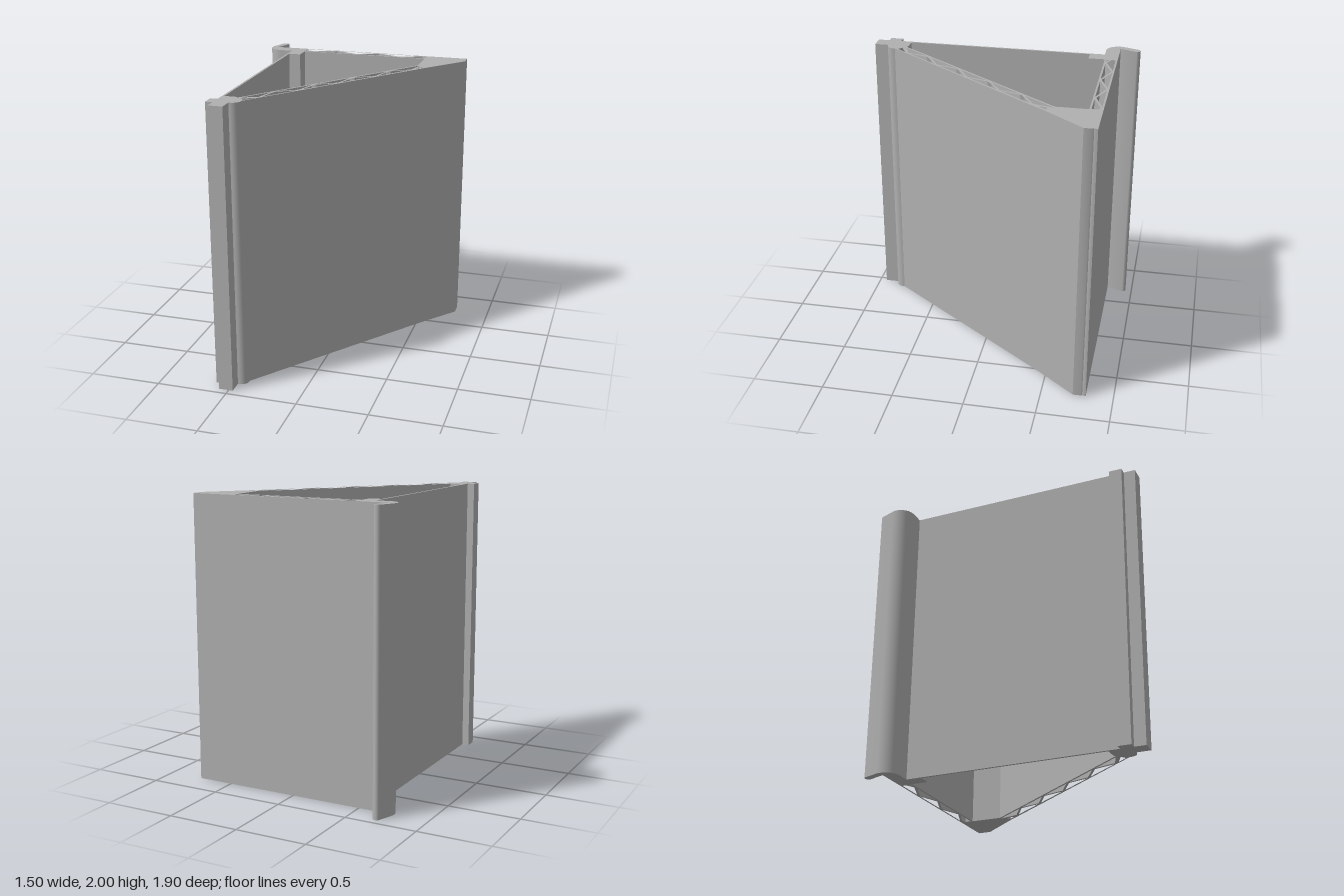
import * as THREE from 'three';
import { toCreasedNormals } from 'three/addons/utils/BufferGeometryUtils.js';

const HEIGHT = 2;

// Points on an arc in the (x, z) plane, angles in degrees
function arc(cx, cz, r, from, to, steps = 10) {
  return Array.from({ length: steps + 1 }, (_, i) => {
    const a = THREE.MathUtils.degToRad(from + ((to - from) * i) / steps);
    return [cx + r * Math.cos(a), cz + r * Math.sin(a)];
  });
}

const toVectors = (points) => points.map(([x, z]) => new THREE.Vector2(x, -z));

// Triangular openings of a zigzag truss, in (along, across) coordinates.
// Struts run through the nodes, which alternate between the two chords.
function trussHoles(first, pitch, count, lowStart, near, far) {
  const gap = 0.021, inset = 0.008;
  return Array.from({ length: count }, (_, i) => {
    const u = first + i * pitch;
    const low = (i % 2 === 0) === lowStart;
    const tip = low ? near + inset : far - inset;
    const base = low ? far : near;
    return [[u - pitch + gap, base], [u + pitch - gap, base], [u, tip]];
  });
}

export function createModel() {
  const group = new THREE.Group();
  const metal = new THREE.MeshStandardMaterial({ color: 0xb0b0b0 });
  metal.name = 'plain grey';

  // Vertical prism from a plan outline
  function prism(name, outline, holes = []) {
    const shape = new THREE.Shape(toVectors(outline));
    shape.holes = holes.map((h) => new THREE.Path(toVectors(h)));
    const geo = new THREE.ExtrudeGeometry(shape, { depth: HEIGHT, bevelEnabled: false });
    geo.rotateX(-Math.PI / 2);
    const mesh = new THREE.Mesh(toCreasedNormals(geo, 0.5), metal);
    mesh.name = name;
    group.add(mesh);
  }

  // Back panel: two skins joined by a zigzag, with cut-off cells at both ends
  const backHoles = trussHoles(-0.235, 0.163, 4, false, -0.797, -0.733)
    .map((h) => h.map(([x, z]) => [x, -1.53 - z]));
  backHoles.push(
    [[-0.465, -0.797], [-0.26, -0.797], [-0.405, -0.741], [-0.465, -0.77]],
    [[-0.465, -0.754], [-0.465, -0.733], [-0.43, -0.733]],
    [[0.275, -0.733], [0.445, -0.733], [0.445, -0.776], [0.417, -0.789]],
  );
  prism('backPanel', [[-0.47, -0.81], [0.45, -0.81], [0.45, -0.72], [-0.47, -0.72]], backHoles);

  // Diagonal panel: the same construction along a slanted line
  const slant = ([u, v]) => [0.45 - 0.6 * u + 0.8 * v, -0.5 + 0.8 * u + 0.6 * v];
  const braceHoles = trussHoles(0.124, 0.16, 8, false, 0.014, 0.077).map((h) => h.map(slant));
  braceHoles.push(
    [[1.265, 0.014], [1.495, 0.014], [1.404, 0.069]].map(slant),
    [[0.472, -0.457], [0.508, -0.45], [0.465, -0.392]],
    [[-0.432, 0.735], [-0.348, 0.694], [-0.4, 0.76]],
  );
  prism('diagonalPanel', [[0.45, -0.5], [0.53, -0.45], [-0.405, 0.785], [-0.46, 0.715]], braceHoles);

  // Solid corner where the two panels meet
  prism('cornerBlock', [
    [0.45, -0.81], [0.75, -0.81], [0.75, -0.795], [0.745, -0.785], [0.75, -0.775],
    [0.75, -0.72], [0.53, -0.45], [0.45, -0.5],
  ]);

  // Rear post with its rounded, upturned hook
  prism('hookPost', [
    [-0.708, -0.81], [-0.47, -0.81], [-0.47, -0.605], [-0.57, -0.605], [-0.57, -0.71],
    ...arc(-0.66, -0.805, 0.095, 90, 197, 14),
    ...arc(-0.69, -0.929, 0.025, 197, 377, 12),
  ]);

  // Front post: cross-shaped foot with a rounded shoulder
  prism('footPost', [
    [-0.57, 0.7], [-0.47, 0.7], [-0.46, 0.715], [-0.405, 0.785],
    ...arc(-0.46, 0.795, 0.055, 0, 90, 8),
    [-0.47, 0.85], [-0.47, 0.95], [-0.57, 0.95], [-0.57, 0.87],
    [-0.62, 0.87], [-0.62, 0.78], [-0.57, 0.78],
  ]);

  // Thin sheet closing the open side
  prism('sideSheet', [[-0.57, -0.605], [-0.555, -0.605], [-0.555, 0.7], [-0.57, 0.7]]);

  return group;
}
